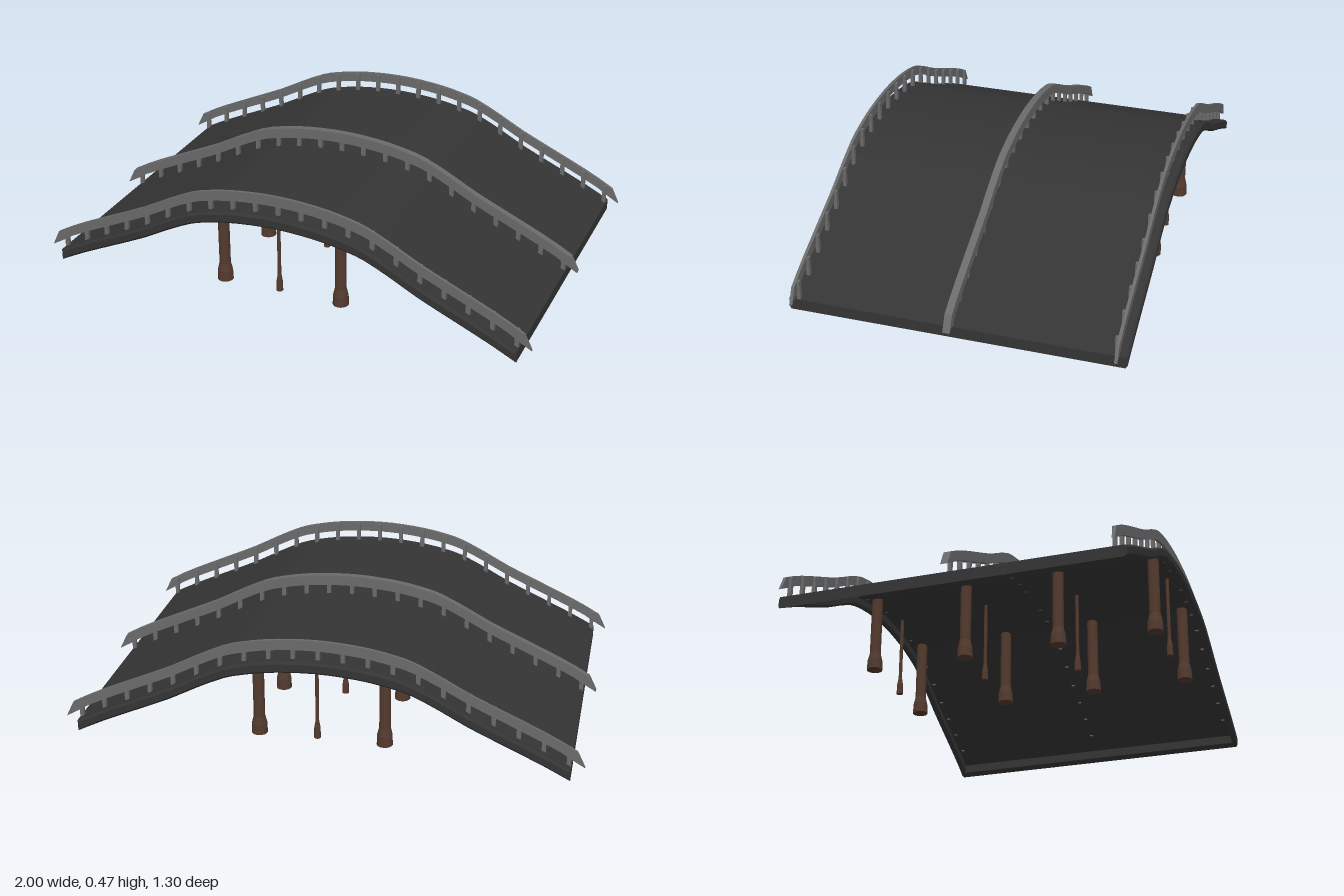
import * as THREE from 'three';

const mat = (color) => new THREE.MeshStandardMaterial({ color, flatShading: true });

// Half of the deck's top line, from the crown outwards, mirrored and smoothed
const half = [[0, 0.385], [0.1, 0.381], [0.2, 0.37], [0.29, 0.352], [0.36, 0.331], [0.46, 0.283],
  [0.57, 0.224], [0.71, 0.16], [0.85, 0.096], [0.95, 0.045]];
const line = [...half.slice(1).reverse().map(([x, y]) => [-x, y]), ...half];
const topLine = new THREE.SplineCurve(line.map(([x, y]) => new THREE.Vector2(x, y)))
  .getPoints(36).map((p) => [p.x, p.y]);

// Height of the deck's top at x
function deckY(x) {
  const i = Math.max(1, topLine.findIndex((p) => p[0] >= x));
  const [p, q] = [topLine[i - 1], topLine[i]];
  return p[1] + (q[1] - p[1]) * (x - p[0]) / (q[0] - p[0]);
}

const shapeOf = (points) => new THREE.Shape(points.map(([x, y]) => new THREE.Vector2(x, y)));

// Outline lying between two heights relative to the deck's top
const band = (points, low, high) => [
  ...points.map(([x, y]) => [x, y + low]),
  ...points.map(([x, y]) => [x, y + high]).reverse(),
];

// Extrusion along z, centred, with an optional chamfer inside its outline
function extrude(outline, width, chamfer = 0) {
  const geometry = new THREE.ExtrudeGeometry(shapeOf(outline), {
    depth: width - 2 * chamfer, bevelEnabled: chamfer > 0, bevelSize: chamfer,
    bevelOffset: -chamfer, bevelThickness: chamfer, bevelSegments: 1,
  });
  return geometry.translate(0, 0, chamfer - width / 2);
}

function named(name, geometry, material, x = 0, y = 0, z = 0) {
  const mesh = new THREE.Mesh(geometry, material);
  mesh.name = name;
  mesh.position.set(x, y, z);
  return mesh;
}

export function createModel() {
  const bridge = new THREE.Group();
  bridge.name = 'bridge';
  const asphalt = mat(0x343434), steel = mat(0x6a6a6a), wood = mat(0x533a2e);

  // Thin arched deck, hollow below, with a deeper rim round its edge
  bridge.add(named('deck', extrude(band(topLine, -0.01, 0), 1.28), asphalt));
  const sideRim = extrude(band(topLine, -0.045, 0), 0.024, 0.008);
  for (const side of [-1, 1]) {
    bridge.add(named('sideRim', sideRim, asphalt, 0, 0, side * 0.638));
    const ends = [0.926, 0.95].map((x) => [side * x, deckY(side * x)]);
    bridge.add(named('endRim', extrude(band(ends, -0.045, 0), 1.28), asphalt));
  }

  // Handrail outline: follows the deck and ends in slanted tips
  const body = topLine.slice(1, -1);
  const railOutline = [
    [-1, 0.05], [-0.945, 0.082], ...body.map(([x, y]) => [x, y + 0.039]), [0.945, 0.082], [1, 0.05],
    [0.97, 0.112], ...body.map(([x, y]) => [x, y + 0.08]).reverse(), [-0.97, 0.112],
  ];

  // Two side railings with posts on their inner faces, and a wider one along the middle
  const railings = [
    ['frontRailing', 0.618, 0.012, 0.609],
    ['backRailing', -0.618, 0.012, -0.609],
    ['middleRailing', 0.01, 0.028, 0.01],
  ];
  const postGeometry = new THREE.BoxGeometry(0.016, 0.083, 0.014);
  for (const [name, z, width, postZ] of railings) {
    const railing = new THREE.Group();
    railing.name = name;
    railing.add(named('handrail', extrude(railOutline, width), steel, 0, 0, z));
    for (let k = -10; k <= 10; k++) {
      const x = k * 0.094;
      railing.add(named('post', postGeometry, steel, x, deckY(x) + 0.0315, postZ));
    }
    bridge.add(railing);
  }

  // Round pier: shouldered foot and a straight shaft reaching into the deck
  function pier(name, shaft, foot, x, z) {
    const top = deckY(x) - 0.005;
    const profile = [[0, 0.04], [foot, 0.04], [foot * 0.95, 0.08], [shaft, 0.112], [shaft, top], [0, top]];
    const geometry = new THREE.LatheGeometry(profile.map(([r, y]) => new THREE.Vector2(r, y)), 16);
    bridge.add(named(name, geometry, wood, x, 0, z));
  }

  // Four rows: a thick pier each side, a thin one staggered about the middle
  [0.577, 0.192, -0.192, -0.577].forEach((z, row) => {
    pier('pier', 0.022, 0.031, -0.248, z);
    pier('pier', 0.022, 0.031, 0.238, z);
    pier('thinPier', 0.007, 0.013, row % 2 ? 0.012 : -0.016, z);
  });

  return bridge;
}
